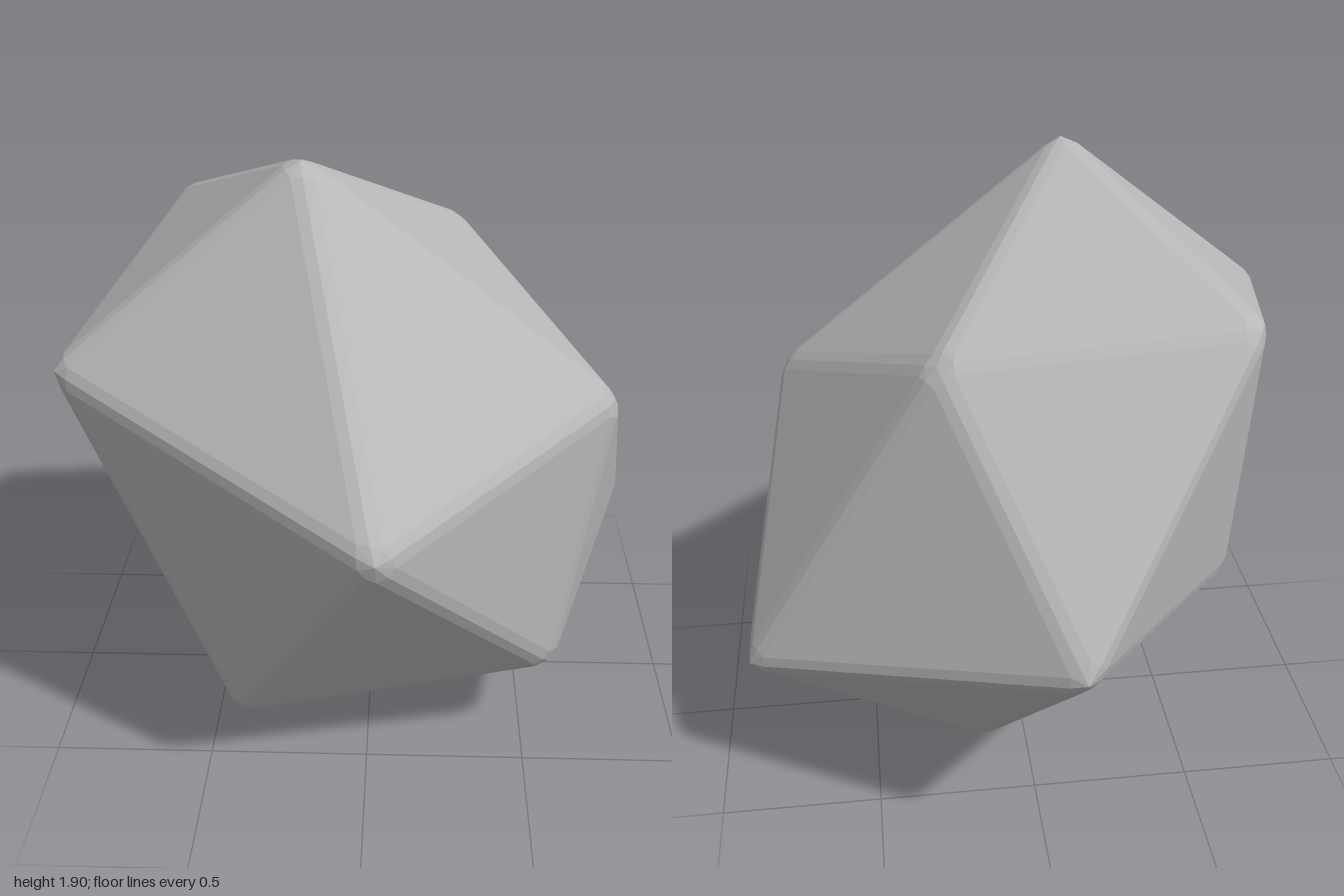
import * as THREE from 'three';
import { ConvexGeometry } from 'three/addons/geometries/ConvexGeometry.js';

// Rounded tips of an irregular twenty-sided stone
const TIPS = {
  A: [-0.18, 1.9, 0.33], B: [-0.87, 1.34, 0.48], C: [0.04, 1.05, 1], D: [0.72, 1.19, 0.31],
  E: [0.87, 0.52, -0.41], F: [-0.39, 0.23, 0.56], G: [0.57, 0.33, 0.42], H: [0.13, 0, -0.22],
  I: [-0.62, 1.58, -0.48], J: [0.27, 1.5, -0.44], K: [-0.07, 0.82, -1], L: [-0.6, 0.72, -0.35],
};
const FACES = 'ABC ACD ADJ AJI AIB BCF BFL BLI CFG CGD DGE DEJ EGH EHK EKJ FGH FHL HKL KLI KIJ'.split(' ');
const BEVEL = 0.035; // distance from each sharp edge to its bevel
const CENTRE = new THREE.Vector3(0, 0.95, 0);

function bevelledStone() {
  const points = [];
  const sharp = {};
  for (const [name, xyz] of Object.entries(TIPS)) {
    const tip = new THREE.Vector3(...xyz);
    points.push(tip);
    sharp[name] = tip.clone().add(tip.clone().sub(CENTRE).setLength(0.02));
  }
  const direction = (a, b) => sharp[b].clone().sub(sharp[a]).normalize();

  // Inset corners of every face, remembered for each end of each edge
  const edgeEnds = {};
  for (const face of FACES) {
    for (let i = 0; i < 3; i++) {
      const [v, a, b] = [face[i], face[(i + 1) % 3], face[(i + 2) % 3]];
      const u = direction(v, a), w = direction(v, b);
      const corner = sharp[v].clone().addScaledVector(u.clone().add(w), BEVEL / Math.sin(u.angleTo(w)));
      points.push(corner);
      for (const other of [a, b]) (edgeEnds[v + other] ??= []).push(corner);
    }
  }

  // Middle line of each two-step bevel
  for (const [[v, other], [p, q]] of Object.entries(edgeEnds)) {
    const u = direction(v, other);
    const mid = p.clone().lerp(q, 0.5);
    const onEdge = sharp[v].clone().addScaledVector(u, mid.clone().sub(sharp[v]).dot(u));
    points.push(mid.lerp(onEdge, 0.48));
  }
  return new ConvexGeometry(points);
}

export function createModel() {
  const group = new THREE.Group();
  group.name = 'stone';
  const stoneGrey = new THREE.MeshStandardMaterial({ color: 0xb8b8b8 });
  stoneGrey.name = 'stone grey';
  const body = new THREE.Mesh(bevelledStone(), stoneGrey);
  body.name = 'stoneBody';
  group.add(body);
  return group;
}
